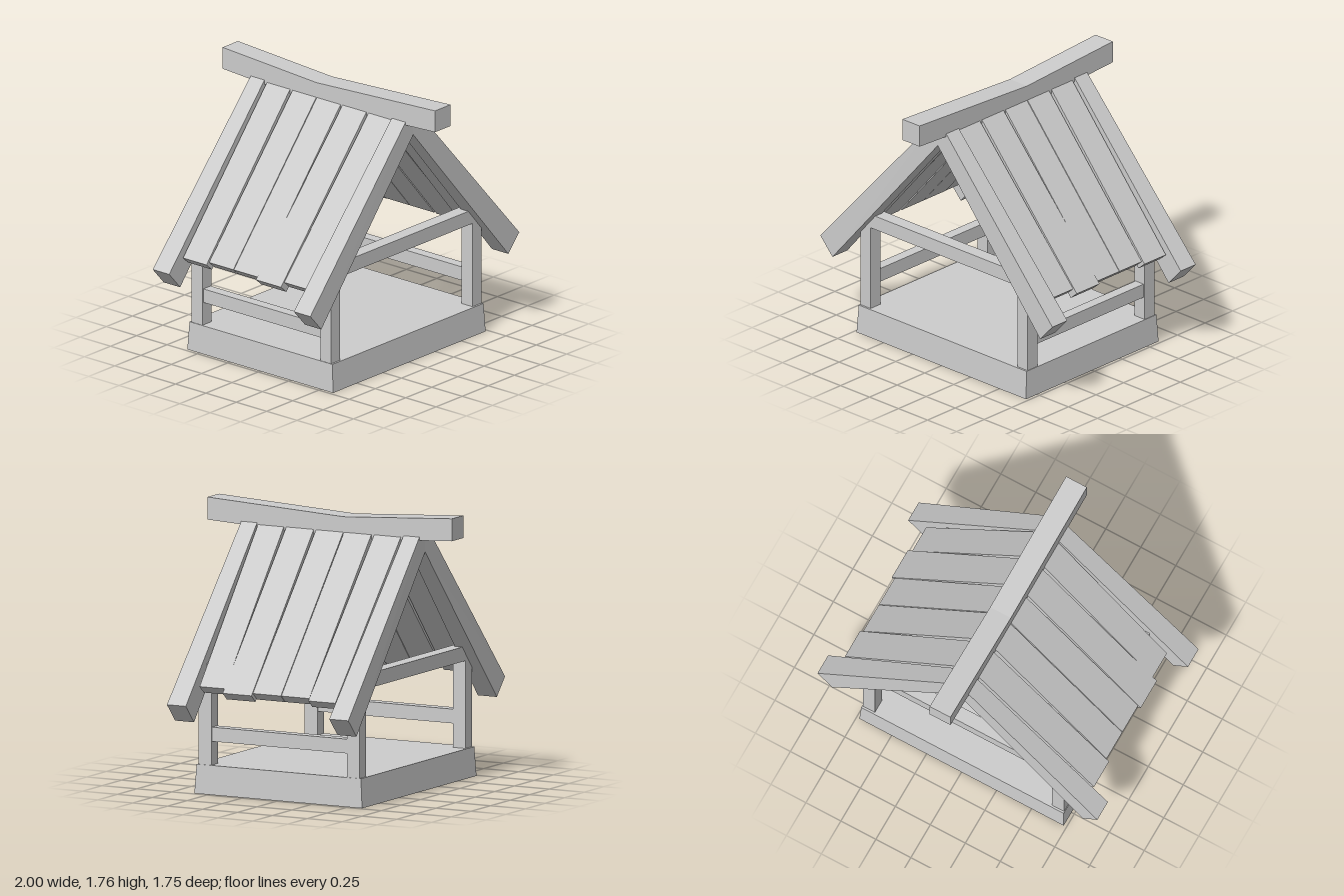
import * as THREE from 'three';

const grey = new THREE.MeshStandardMaterial({ color: 0xcccccc });
grey.name = 'plain grey';

// A box whose unit-cube vertices are moved by a rule, with flat faces
function warpedBox(name, rule, zSegments = 1) {
  const box = new THREE.BoxGeometry(1, 1, 1, 1, 1, zSegments);
  const p = box.attributes.position;
  for (let i = 0; i < p.count; i++) {
    p.setXYZ(i, ...rule(p.getX(i), p.getY(i), p.getZ(i)));
  }
  const geometry = box.toNonIndexed();
  geometry.computeVertexNormals();
  const mesh = new THREE.Mesh(geometry, grey);
  mesh.name = name;
  return mesh;
}

function beam(name, size, position) {
  const mesh = new THREE.Mesh(new THREE.BoxGeometry(...size), grey);
  mesh.name = name;
  mesh.position.set(...position);
  return mesh;
}

// A sloping roof piece from the ridge line down to the eaves.
// section: [outer ridge, outer eave, inner eave, inner ridge] in x, y
function roofSlab(name, side, section, zRidge, zEave) {
  const [outerTop, outerEnd, innerEnd, innerTop] = section;
  const lerp = THREE.MathUtils.lerp;
  return warpedBox(name, (u, v, w) => {
    const atEave = u * side > 0;
    const [x, y] = v > 0 ? (atEave ? outerEnd : outerTop) : (atEave ? innerEnd : innerTop);
    const [z0, z1] = atEave ? zEave : zRidge;
    return [side * x, y, lerp(z0, z1, w + 0.5)];
  });
}

export function createModel() {
  const model = new THREE.Group();
  model.name = 'openShelter';

  // Solid base, slightly narrower at the top
  model.add(warpedBox('base', (u, v, w) => {
    const top = v > 0;
    return [u * 2 * (top ? 0.723 : 0.73), top ? 0.185 : 0, w * 2 * (top ? 0.588 : 0.6)];
  }));

  // Corner posts, side rails and cross beams
  for (const s of [-1, 1]) {
    for (const e of [-1, 1]) {
      model.add(beam('post', [0.086, 0.565, 0.09], [s * 0.676, 0.4575, e * 0.53]));
    }
    model.add(beam('sideRail', [0.07, 0.09, 0.98], [s * 0.676, 0.38, 0]));
    model.add(beam('crossBeam', [1.45, 0.092, 0.09], [0, 0.785, s * 0.53]));
  }

  // Roof boards: z span at ridge, z span at eave, eave x and y
  const boards = [
    [[0.33, 0.515], [0.31, 0.49], 0.86, 0.702],
    [[0.115, 0.31], [0.102, 0.308], 0.89, 0.678],
    [[-0.097, 0.097], [-0.097, 0.103], 0.87, 0.69],
    [[-0.298, -0.103], [-0.3, -0.101], 0.87, 0.69],
    [[-0.51, -0.32], [-0.498, -0.305], 0.89, 0.678],
  ];
  const rafter = [[0, 1.708], [1, 0.595], [0.895, 0.48], [0, 1.522]];
  for (const side of [-1, 1]) {
    for (const [zRidge, zEave, x, y] of boards) {
      const section = [[0, 1.7], [x, y], [x - 0.052, y - 0.045], [0, 1.595]];
      model.add(roofSlab('roofBoard', side, section, zRidge, zEave));
    }
    // Heavier rafters at both gables, widening towards the eaves
    model.add(roofSlab('frontRafter', side, rafter, [0.52, 0.632], [0.51, 0.645]));
    model.add(roofSlab('backRafter', side, rafter, [-0.642, -0.53], [-0.653, -0.517]));
  }

  // Ridge beam, sagging just behind the middle
  model.add(warpedBox('ridgeBeam', (u, v, w) => {
    const middle = Math.abs(w) < 0.01;
    const y = v > 0 ? (middle ? 1.712 : 1.76) : (middle ? 1.572 : 1.618);
    return [u * 0.148, y, middle ? -0.1 : w * 1.75];
  }, 2));

  return model;
}
